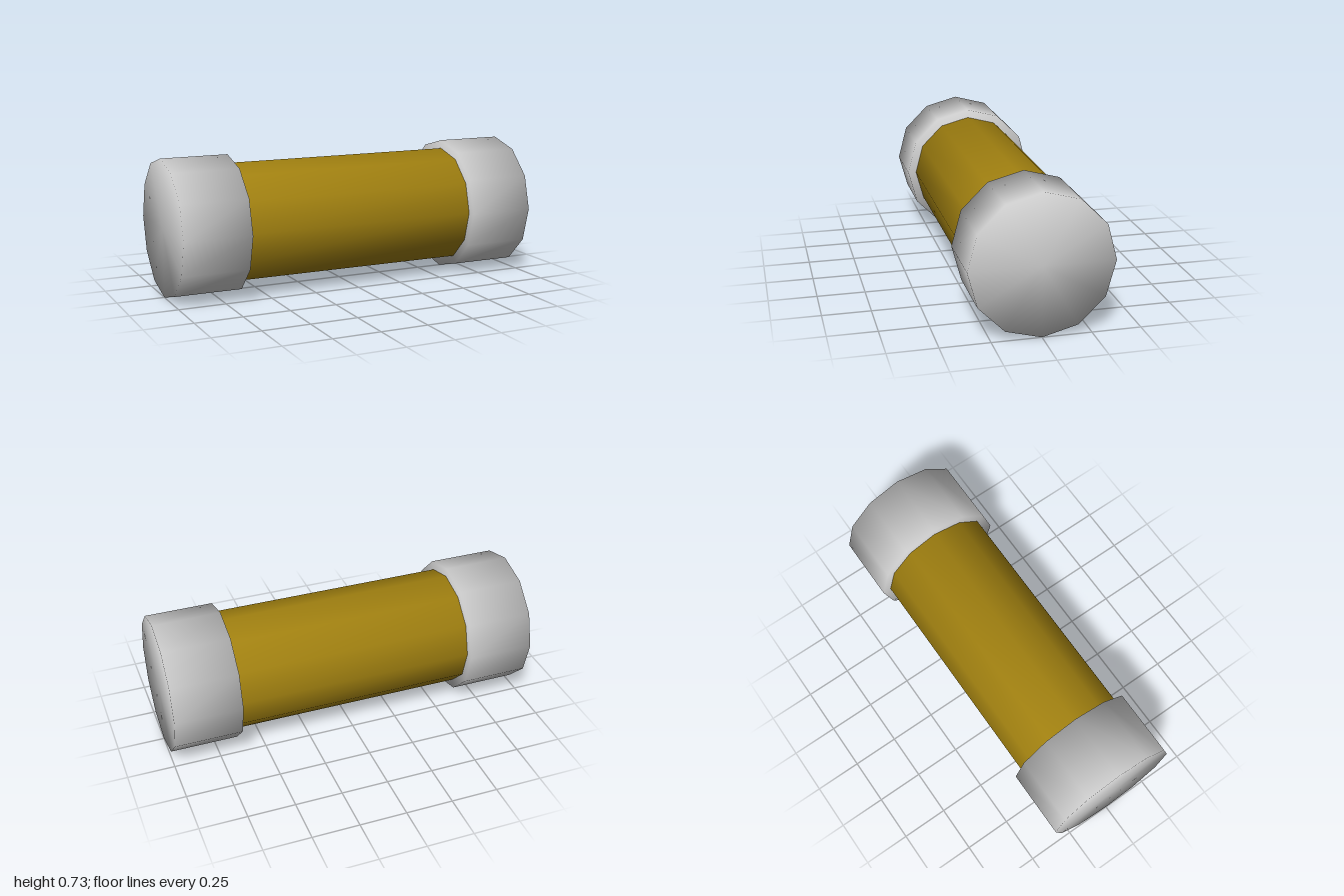
import * as THREE from 'three';

const SIDES = 12;
const CAP_R = 0.364, BODY_R = 0.318;
const BODY_HALF = 0.64, END = 1;

const capMaterial = new THREE.MeshStandardMaterial({ color: 0xcccccc });
const bodyMaterial = new THREE.MeshStandardMaterial({ color: 0x9f7f10 });

// Closed twelve-sided drum lying along x, with normals blended over its rims
function drum(name, radius, half, x, material) {
  const profile = [[0, -half], [radius, -half], [radius, half], [0, half]]
    .map(([r, y]) => new THREE.Vector2(r, y));
  const geometry = new THREE.LatheGeometry(profile, SIDES);
  geometry.rotateZ(-Math.PI / 2);
  const mesh = new THREE.Mesh(geometry, material);
  mesh.name = name;
  mesh.position.set(x, CAP_R, 0);
  return mesh;
}

export function createModel() {
  const group = new THREE.Group();
  group.name = 'cappedCylinder';

  // Coloured middle barrel
  group.add(drum('body', BODY_R, BODY_HALF, 0, bodyMaterial));

  // Wider grey cap at each end
  const half = (END - BODY_HALF) / 2;
  for (const side of [-1, 1]) {
    const name = side > 0 ? 'leftEndCap' : 'rightEndCap';
    group.add(drum(name, CAP_R, half, side * (END - half), capMaterial));
  }
  return group;
}
